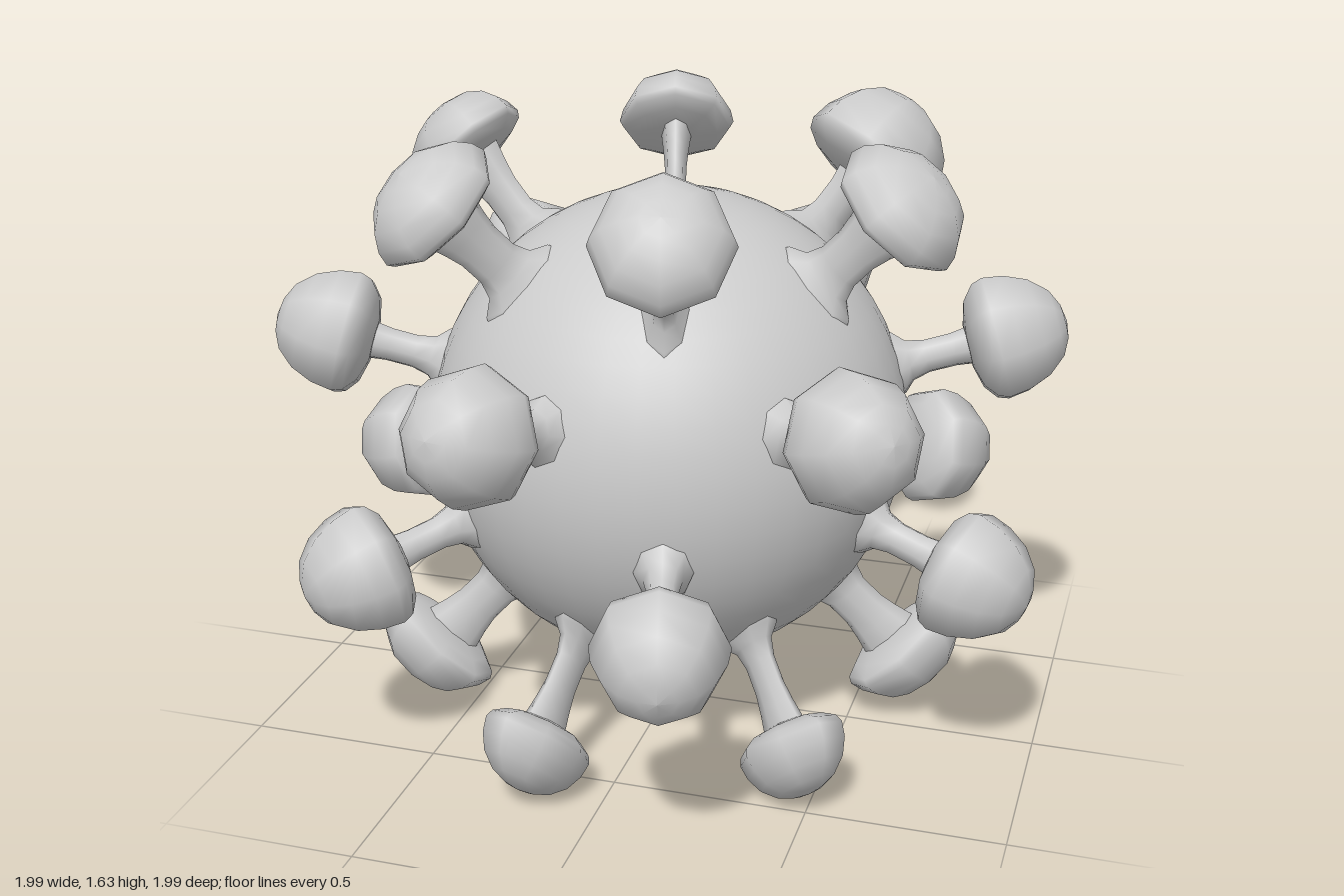
import * as THREE from 'three';

const CENTER_Y = 0.815;
const SIDES = 8;
const RAD = Math.PI / 180;

const lathe = (pts) => new THREE.LatheGeometry(pts.map(([r, y]) => new THREE.Vector2(r, y)), SIDES);

export function createModel() {
  const model = new THREE.Group();
  model.name = 'spikedSphere';
  const material = new THREE.MeshStandardMaterial({ color: 0xcccccc, side: THREE.DoubleSide });

  const add = (parent, geometry, name) => {
    const mesh = new THREE.Mesh(geometry, material);
    mesh.name = name;
    parent.add(mesh);
    return mesh;
  };

  // round core
  add(model, new THREE.SphereGeometry(0.62, 40, 28), 'core').position.y = CENTER_Y;

  // flared stalk of unit width, running outward from the core
  const stalkGeometry = lathe([
    [2.1, 0.59], [1.9, 0.617], [1.25, 0.645], [1, 0.69], [1, 0.76], [1.15, 0.81], [1.4, 0.87],
  ]);
  // domed cap of unit radius and height, rim at y = 0
  const capGeometry = lathe([
    [0, -0.3], [0.35, -0.3], [0.72, -0.22], [0.94, -0.08], [1, 0.06],
    [0.95, 0.33], [0.8, 0.62], [0.55, 0.85], [0.28, 0.96], [0, 1],
  ]);

  // one mushroom-shaped spike; w = width around the axis, m = width along the meridian
  function addSpike(azimuth, elevation, { rim, height, w, m, stalkW, stalkM }) {
    const a = azimuth * RAD, e = elevation * RAD;
    const out = new THREE.Vector3(Math.cos(e) * Math.cos(a), Math.sin(e), Math.cos(e) * Math.sin(a));
    const across = new THREE.Vector3(-Math.sin(a), 0, Math.cos(a));
    const along = new THREE.Vector3().crossVectors(across, out);
    const spike = new THREE.Group();
    spike.name = 'spike';
    spike.position.y = CENTER_Y;
    spike.quaternion.setFromRotationMatrix(new THREE.Matrix4().makeBasis(across, out, along));
    add(spike, stalkGeometry, 'stalk').scale.set(stalkW, 1, stalkM);
    const cap = add(spike, capGeometry, 'cap');
    cap.position.y = rim;
    cap.scale.set(w, height, m);
    model.add(spike);
  }

  // twelve spikes zigzagging around the equator
  for (let i = 0; i < 12; i++) {
    addSpike(15 + i * 30, i % 2 ? 15.5 : -15.5,
      { rim: 0.86, height: 0.2, w: 0.165, m: 0.17, stalkW: 0.038, stalkM: 0.045 });
  }

  // six spikes above, of slightly varied width, one with a larger cap
  [0.17, 0.17, 0.15, 0.145, 0.16, 0.19].forEach((w, i) => {
    const large = i === 5;
    addSpike(15 + i * 60, 46, {
      rim: large ? 0.865 : 0.905, height: large ? 0.2 : 0.135, w, m: large ? 0.2 : 0.18,
      stalkW: 0.03, stalkM: 0.062,
    });
  });

  // six narrower spikes below
  for (let i = 0; i < 6; i++) {
    addSpike(45 + i * 60, -46,
      { rim: 0.9, height: 0.14, w: 0.127, m: 0.18, stalkW: 0.03, stalkM: 0.062 });
  }
  return model;
}
